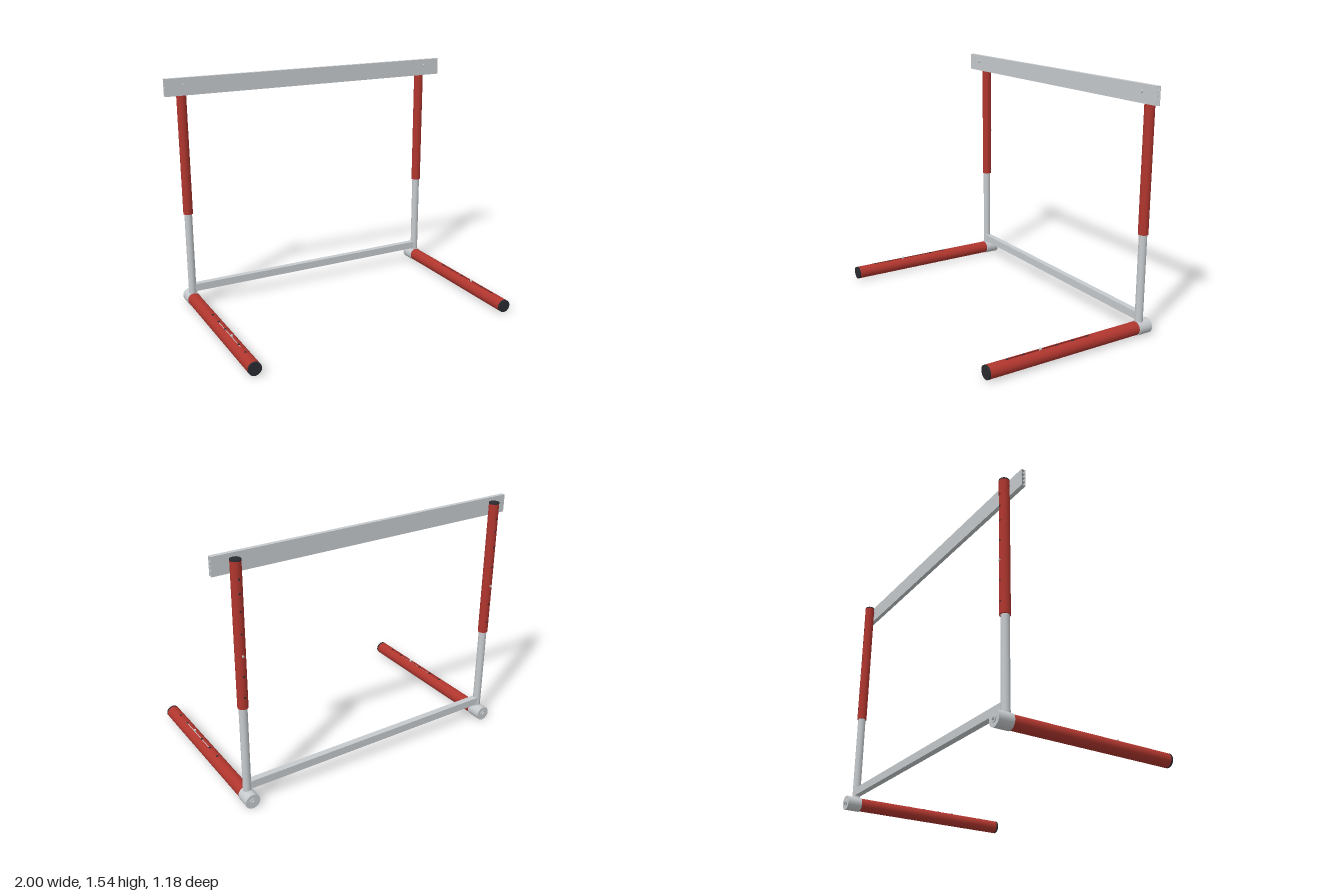
import * as THREE from 'three';

const mat = (name, color, side = THREE.FrontSide) => {
  const m = new THREE.MeshStandardMaterial({ color, side });
  m.name = name;
  return m;
};

export function createModel() {
  const red = mat('red paint', 0xb0362e, THREE.DoubleSide);
  const grey = mat('light grey metal', 0xc6cacd);
  const dark = mat('dark rubber', 0x2a2b31);

  const model = new THREE.Group();
  model.name = 'hurdle';

  const add = (parent, name, geo, material, x, y, z) => {
    const mesh = new THREE.Mesh(geo, material);
    mesh.name = name;
    mesh.position.set(x, y, z);
    parent.add(mesh);
    return mesh;
  };
  // Upright cylinder between two heights
  const upright = (parent, name, r, y0, y1, z, material) =>
    add(parent, name, new THREE.CylinderGeometry(r, r, y1 - y0, 32), material, 0, (y0 + y1) / 2, z);
  // Cylinder along z between two depths; gap is the half angle left open at the top
  const along = (parent, name, r, z0, z1, y, material, gap = 0, open = false, sides = 32) => {
    const geo = new THREE.CylinderGeometry(r, r, z1 - z0, sides, 1, open, Math.PI + gap, 2 * Math.PI - 2 * gap);
    return add(parent, name, geo.rotateX(Math.PI / 2), material, 0, y, (z0 + z1) / 2);
  };

  // Hollow top board with four channels along its length
  const w = 0.026, h = 0.11, wall = 0.003;
  const section = new THREE.Shape();
  const rect = (path, x0, y0, x1, y1) =>
    path.moveTo(x0, y0).lineTo(x1, y0).lineTo(x1, y1).lineTo(x0, y1).closePath();
  rect(section, -w / 2, -h / 2, w / 2, h / 2);
  const cell = (h - 5 * wall) / 4;
  for (let i = 0; i < 4; i++) {
    const y = -h / 2 + wall + i * (cell + wall);
    const hole = new THREE.Path();
    rect(hole, -w / 2 + wall, y, w / 2 - wall, y + cell);
    section.holes.push(hole);
  }
  const boardGeo = new THREE.ExtrudeGeometry(section, { depth: 2, bevelEnabled: false });
  boardGeo.translate(0, 0, -1).rotateY(Math.PI / 2);
  add(model, 'topBoard', boardGeo, grey, 0, 1.485, -0.455);

  // Lower crossbar
  add(model, 'crossbar', new THREE.BoxGeometry(1.73, 0.05, 0.04), grey, 0, 0.125, -0.505);

  const postZ = -0.505, legY = 0.048;
  for (const [label, side] of [['left', 1], ['right', -1]]) {
    const frame = new THREE.Group();
    frame.name = label + 'Frame';
    frame.position.x = side * 0.88;
    model.add(frame);

    // Telescopic post
    upright(frame, 'innerPost', 0.025, 0.07, 0.66, postZ, grey);
    upright(frame, 'outerPost', 0.031, 0.645, 1.512, postZ, red);
    upright(frame, 'postCap', 0.031, 1.512, 1.52, postZ, dark);

    // Height holes and spring button on the back of the post
    for (const y of [0.72, 0.85, 1.105, 1.235, 1.335, 1.415])
      along(frame, 'heightHole', 0.006, postZ - 0.0318, postZ - 0.029, y, dark, 0, false, 16);
    along(frame, 'heightButton', 0.006, postZ - 0.038, postZ - 0.028, 0.975, grey, 0, false, 16);

    // Bolt through the board
    along(frame, 'boardBolt', 0.009, -0.442, -0.431, 1.497, grey, 0, false, 20);
    along(frame, 'boardBoltShank', 0.007, -0.49, -0.442, 1.497, grey, 0, false, 16);

    // Foot tube, slotted along the top
    const r = 0.042, slot = 0.14;
    along(frame, 'footTubeBack', r, -0.485, -0.11, legY, red, 0, true);
    along(frame, 'footTubeSlotted', r, -0.11, 0.45, legY, red, slot, true);
    along(frame, 'footTubeFront', r, 0.45, 0.578, legY, red, 0, true);
    along(frame, 'footCap', r, 0.578, 0.59, legY, dark);

    // Sliding strip, notches and button in the slot
    add(frame, 'slideStrip', new THREE.BoxGeometry(0.005, 0.004, 0.36), grey, 0, legY + 0.034, 0.18);
    for (const z of [-0.11, 0, 0.115, 0.34, 0.45])
      add(frame, 'slotNotch', new THREE.CylinderGeometry(0.008, 0.008, 0.003, 16), dark, 0, legY + r - 0.001, z);
    add(frame, 'slideButton', new THREE.CylinderGeometry(0.008, 0.008, 0.014, 16), grey, 0, legY + r + 0.001, 0.225);

    // Rear sleeve with its bolt
    along(frame, 'rearSleeve', 0.0465, -0.575, -0.48, legY, grey);
    along(frame, 'sleeveWasher', 0.022, -0.58, -0.575, legY, grey, 0, false, 24);
    along(frame, 'sleeveBolt', 0.013, -0.59, -0.58, legY, grey, 0, false, 6);
  }
  return model;
}
